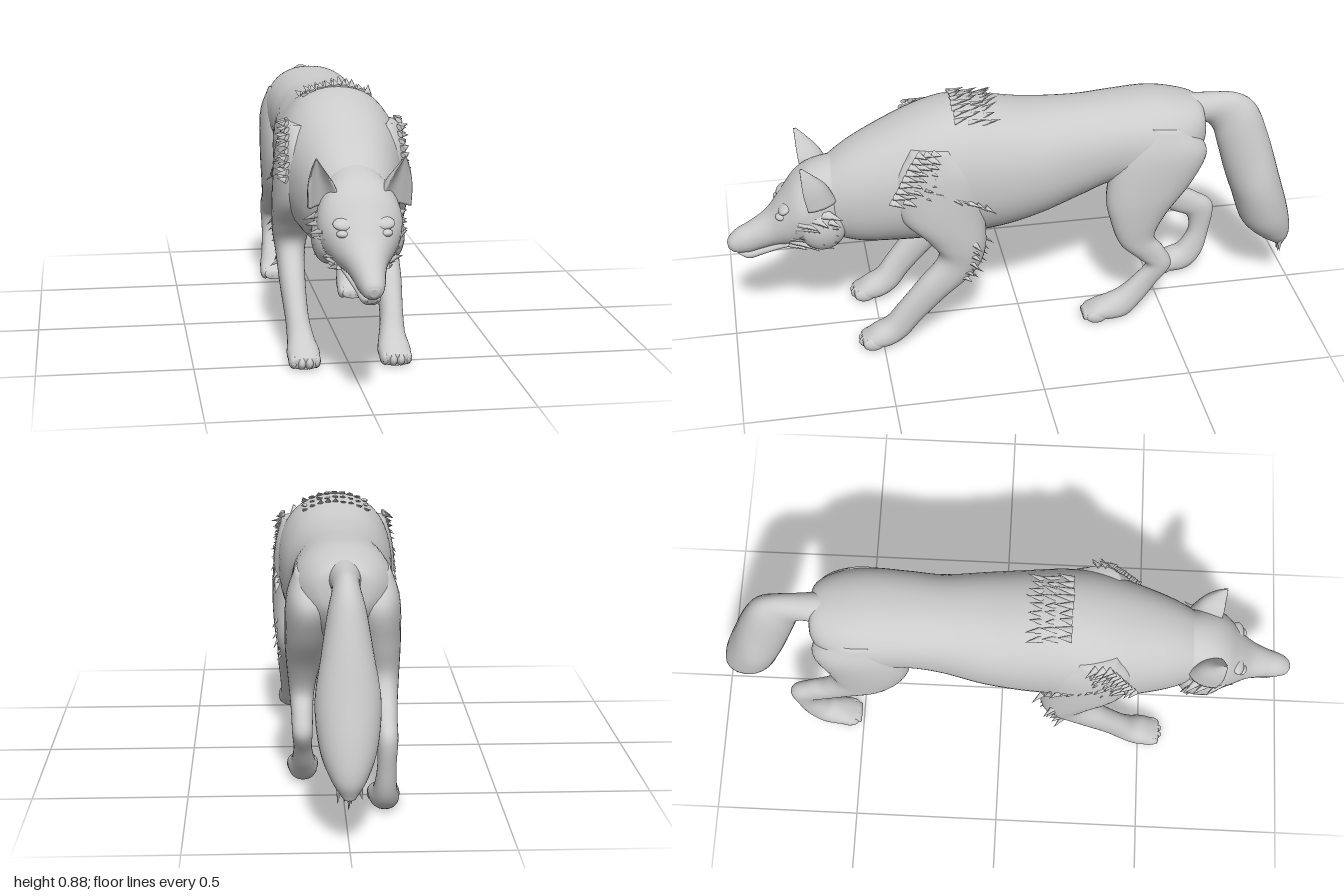
import * as THREE from 'three';
import { mergeGeometries } from 'three/addons/utils/BufferGeometryUtils.js';

const grey = new THREE.MeshStandardMaterial({ color: 0xcccccc, side: THREE.DoubleSide });

// Loft through sections [z1, y1, z2, y2, centreX, halfWidth]: two opposite edge points plus a width.
function loft(sections, { rings = 60, sides = 32, power = 2, cup = 0 } = {}) {
  const edgeA = new THREE.CatmullRomCurve3(sections.map(s => new THREE.Vector3(s[4], s[1], s[0])), false, 'catmullrom');
  const edgeB = new THREE.CatmullRomCurve3(sections.map(s => new THREE.Vector3(s[5], s[3], s[2])), false, 'catmullrom');
  const pos = [], index = [];
  for (let i = 0; i <= rings; i++) {
    const a = edgeA.getPoint(i / rings), b = edgeB.getPoint(i / rings);
    for (let j = 0; j < sides; j++) {
      const t = (j / sides) * Math.PI * 2;
      let c = Math.sign(Math.cos(t)) * Math.abs(Math.cos(t)) ** (2 / power);
      const s = Math.sign(Math.sin(t)) * Math.abs(Math.sin(t)) ** (2 / power);
      if (c < 0) c *= 1 + cup * c;
      pos.push(a.x + Math.max(b.x, 0.001) * s,
        (a.y + b.y) / 2 + (a.y - b.y) / 2 * c, (a.z + b.z) / 2 + (a.z - b.z) / 2 * c);
      if (i < rings) {
        const p = i * sides + j, q = i * sides + (j + 1) % sides;
        index.push(p, q, p + sides, q, q + sides, p + sides);
      }
    }
  }
  // End caps
  const last = rings * sides;
  for (let j = 1; j < sides - 1; j++) index.push(0, j + 1, j, last, last + j, last + j + 1);
  const g = new THREE.BufferGeometry();
  g.setAttribute('position', new THREE.Float32BufferAttribute(pos, 3));
  g.setIndex(index);
  g.computeVertexNormals();
  return g;
}

function add(parent, name, geometry) {
  const m = new THREE.Mesh(geometry, grey);
  m.name = name;
  parent.add(m);
  return m;
}

function blob(x, y, z, rx, ry, rz, tilt = 0) {
  return new THREE.SphereGeometry(1, 20, 14).scale(rx, ry, rz).rotateX(tilt).translate(x, y, z);
}

let seed = 7;
const rand = () => (seed = (seed * 16807) % 2147483647) / 2147483647;

// Flat pointed locks along a line from a to b, leaning in dir.
function locks(a, b, dir, count, length, radius) {
  const out = [], from = new THREE.Vector3(...a), to = new THREE.Vector3(...b);
  for (let i = 0; i < count; i++) {
    const d = new THREE.Vector3(...dir).normalize();
    d.add(new THREE.Vector3(rand() - 0.5, rand() - 0.5, rand() - 0.5).multiplyScalar(0.35)).normalize();
    const len = length * (0.75 + 0.5 * rand());
    const g = new THREE.ConeGeometry(radius, len, 8).translate(0, len * 0.35, 0).scale(1, 1, 0.5);
    g.applyQuaternion(new THREE.Quaternion().setFromUnitVectors(new THREE.Vector3(0, 1, 0), d));
    const p = from.clone().lerp(to, count > 1 ? i / (count - 1) : 0.5);
    out.push(g.translate(p.x, p.y, p.z));
  }
  return out;
}

// Toes fanned across the front of a paw.
function toes(x, z) {
  return mergeGeometries([-1.5, -0.5, 0.5, 1.5].map(k =>
    blob(x + k * 0.024, 0.026, z - Math.abs(k) * 0.012, 0.016, 0.024, 0.036)));
}

const bodySections = [
  [0.70, 0.63, 0.66, 0.40, 0, 0.10], [0.58, 0.72, 0.56, 0.37, 0, 0.145], [0.42, 0.80, 0.46, 0.365, 0, 0.18],
  [0.30, 0.845, 0.32, 0.365, 0, 0.20], [0.20, 0.86, 0.20, 0.37, 0, 0.20], [0.08, 0.84, 0.06, 0.385, 0, 0.193],
  [-0.04, 0.82, -0.07, 0.42, 0, 0.182], [-0.20, 0.815, -0.20, 0.47, 0, 0.16], [-0.32, 0.82, -0.31, 0.515, 0, 0.16],
  [-0.45, 0.825, -0.45, 0.51, 0, 0.165], [-0.55, 0.81, -0.56, 0.54, 0, 0.145],
  [-0.62, 0.785, -0.63, 0.62, 0, 0.095], [-0.64, 0.74, -0.645, 0.68, 0, 0.03],
];
const headSections = [
  [1.0, 0.385, 0.995, 0.36, 0, 0.012], [0.99, 0.405, 0.975, 0.347, 0, 0.03], [0.965, 0.428, 0.93, 0.345, 0, 0.042],
  [0.92, 0.452, 0.89, 0.355, 0, 0.05], [0.86, 0.492, 0.835, 0.37, 0, 0.068], [0.81, 0.555, 0.78, 0.375, 0, 0.10],
  [0.76, 0.62, 0.73, 0.38, 0, 0.128], [0.70, 0.662, 0.68, 0.385, 0, 0.13], [0.60, 0.69, 0.60, 0.39, 0, 0.11],
];
const jawSections = [
  [0.968, 0.35, 0.96, 0.332, 0, 0.014], [0.945, 0.355, 0.925, 0.318, 0, 0.03], [0.89, 0.37, 0.87, 0.338, 0, 0.04],
  [0.82, 0.40, 0.80, 0.364, 0, 0.06], [0.72, 0.43, 0.72, 0.378, 0, 0.08],
];
const tailSections = [
  [-0.56, 0.80, -0.60, 0.66, 0, 0.06], [-0.66, 0.795, -0.645, 0.69, 0, 0.046], [-0.76, 0.785, -0.68, 0.66, 0, 0.045],
  [-0.83, 0.735, -0.70, 0.60, 0, 0.06], [-0.88, 0.62, -0.735, 0.48, 0, 0.08], [-0.93, 0.46, -0.77, 0.38, 0, 0.10],
  [-0.975, 0.31, -0.81, 0.27, 0, 0.088], [-0.99, 0.21, -0.87, 0.205, 0, 0.056], [-0.97, 0.15, -0.94, 0.16, 0, 0.02],
];
// Legs list the back edge first, then the front edge.
const frontLegSections = [
  [0.25, 0.76, 0.38, 0.76, 0.14, 0.045], [0.15, 0.66, 0.44, 0.66, 0.143, 0.068], [0.14, 0.50, 0.43, 0.52, 0.148, 0.073],
  [0.14, 0.37, 0.34, 0.42, 0.155, 0.062], [0.18, 0.28, 0.30, 0.345, 0.158, 0.048], [0.28, 0.19, 0.37, 0.255, 0.16, 0.042],
  [0.37, 0.095, 0.44, 0.165, 0.156, 0.038], [0.42, 0.035, 0.485, 0.105, 0.15, 0.044],
  [0.48, 0.005, 0.53, 0.075, 0.148, 0.053], [0.565, 0.005, 0.575, 0.04, 0.148, 0.045],
];
const hindWidths = [[0.10, 0.05], [0.105, 0.075], [0.115, 0.07], [0.125, 0.054], [0.13, 0.04], [0.13, 0.035],
  [0.13, 0.033], [0.128, 0.03], [0.126, 0.037], [0.126, 0.047], [0.126, 0.05], [0.126, 0.035]];
const leftHind = [[-0.55, 0.74, -0.40, 0.76], [-0.63, 0.65, -0.32, 0.66], [-0.585, 0.54, -0.285, 0.50],
  [-0.495, 0.42, -0.30, 0.40], [-0.455, 0.33, -0.335, 0.305], [-0.49, 0.275, -0.40, 0.24], [-0.52, 0.205, -0.43, 0.205],
  [-0.47, 0.13, -0.385, 0.15], [-0.42, 0.06, -0.335, 0.105], [-0.36, 0.005, -0.29, 0.083], [-0.26, 0.003, -0.25, 0.065],
  [-0.21, 0.008, -0.205, 0.035]];
const rightHind = [[-0.55, 0.74, -0.40, 0.76], [-0.63, 0.65, -0.33, 0.66], [-0.60, 0.52, -0.31, 0.52],
  [-0.575, 0.42, -0.38, 0.385], [-0.62, 0.35, -0.49, 0.315], [-0.68, 0.315, -0.585, 0.255], [-0.74, 0.265, -0.645, 0.225],
  [-0.73, 0.16, -0.655, 0.16], [-0.705, 0.06, -0.62, 0.10], [-0.65, 0.005, -0.585, 0.083], [-0.56, 0.003, -0.55, 0.065],
  [-0.51, 0.008, -0.505, 0.035]];
const earSections = [
  [0.735, 0.725, 0.75, 0.722, 0.136, 0.003], [0.70, 0.69, 0.77, 0.68, 0.13, 0.022],
  [0.66, 0.645, 0.79, 0.625, 0.118, 0.042], [0.63, 0.58, 0.79, 0.56, 0.108, 0.052],
];
const mirrorX = (sections, side) => sections.map(s => [...s.slice(0, 4), s[4] * side, s[5]]);

export function createModel() {
  const model = new THREE.Group();
  model.name = 'wolf';
  add(model, 'body', loft(bodySections, { rings: 90, sides: 48, power: 2.2 }));
  add(model, 'tail', loft(tailSections));
  add(model, 'tailTip', mergeGeometries([
    ...locks([-0.03, 0.19, -0.95], [0.03, 0.19, -0.95], [0, -1, 0], 4, 0.06, 0.016),
    ...locks([0, 0.165, -0.96], [0, 0.165, -0.96], [0, -1, 0], 1, 0.06, 0.018)]));

  const head = new THREE.Group();
  head.name = 'head';
  model.add(head);
  add(head, 'skull', loft(headSections, { sides: 40, power: 2.1 }));
  add(head, 'jaw', loft(jawSections));
  add(head, 'nose', blob(0, 0.388, 0.977, 0.027, 0.02, 0.022, 0.4));

  for (const [side, label] of [[1, 'left'], [-1, 'right']]) {
    add(head, label + 'Ear', loft(mirrorX(earSections, side), { rings: 24, cup: 1.2 }));
    add(head, label + 'Cheek', blob(side * 0.095, 0.47, 0.68, 0.05, 0.085, 0.08));
    add(head, label + 'Brow', blob(side * 0.06, 0.535, 0.80, 0.035, 0.014, 0.025, 0.6));
    add(head, label + 'Eye', blob(side * 0.066, 0.508, 0.815, 0.02, 0.012, 0.018));

    // Cheek ruff in three overlapping rows
    const ruff = [0, 1, 2].flatMap(r => locks(
      [side * (0.128 - r * 0.004), 0.535 - r * 0.015, 0.665 + r * 0.04],
      [side * (0.085 - r * 0.006), 0.40, 0.69 + r * 0.045], [side * 0.5, -0.2, -0.75], 7, 0.075, 0.019));
    add(head, label + 'CheekRuff', mergeGeometries(ruff));

    add(model, label + 'FrontLeg', loft(mirrorX(frontLegSections, side), { power: 2.2 }));
    add(model, label + 'FrontToes', toes(side * 0.148, 0.555));
    const path = side > 0 ? leftHind : rightHind;
    add(model, label + 'HindLeg', loft(mirrorX(path.map((s, i) => [...s, ...hindWidths[i]]), side), { power: 2.2 }));
    add(model, label + 'HindToes', toes(side * 0.126, side > 0 ? -0.235 : -0.535));

    // Shoulder, side and elbow fur
    const shoulder = [0, 1, 2].flatMap(r => locks(
      [side * 0.185, 0.765, 0.36 - r * 0.025], [side * 0.196, 0.60, 0.45 - r * 0.045],
      [side * 0.55, -0.1, -0.7], 9, 0.045, 0.014));
    add(model, label + 'ShoulderFur', mergeGeometries(shoulder));
    add(model, label + 'SideFur', mergeGeometries(
      locks([side * 0.208, 0.645, 0.34], [side * 0.205, 0.55, 0.14], [side * 0.3, -0.5, -0.8], 8, 0.045, 0.011)));
    const elbow = [-1, 0, 1].flatMap(k => locks(
      [side * (0.156 + k * 0.045), 0.42, 0.16 + Math.abs(k) * 0.03],
      [side * (0.158 + k * 0.03), 0.28, 0.20 + Math.abs(k) * 0.025], [side * k * 0.35, -0.6, -0.7], 7, 0.06, 0.016));
    add(model, label + 'ElbowFur', mergeGeometries(elbow));
  }

  // Withers fur in arched rows across the back
  const withers = [];
  for (let r = 0; r < 3; r++) for (let i = -4; i <= 4; i++) {
    const x = i * 0.026, z = 0.22 - r * 0.045, y = 0.862 - r * 0.008 - 2.6 * x * x;
    withers.push(...locks([x, y, z], [x, y, z], [x * 2, 0.28, -1], 1, 0.06, 0.014));
  }
  add(model, 'withersFur', mergeGeometries(withers));
  return model;
}
